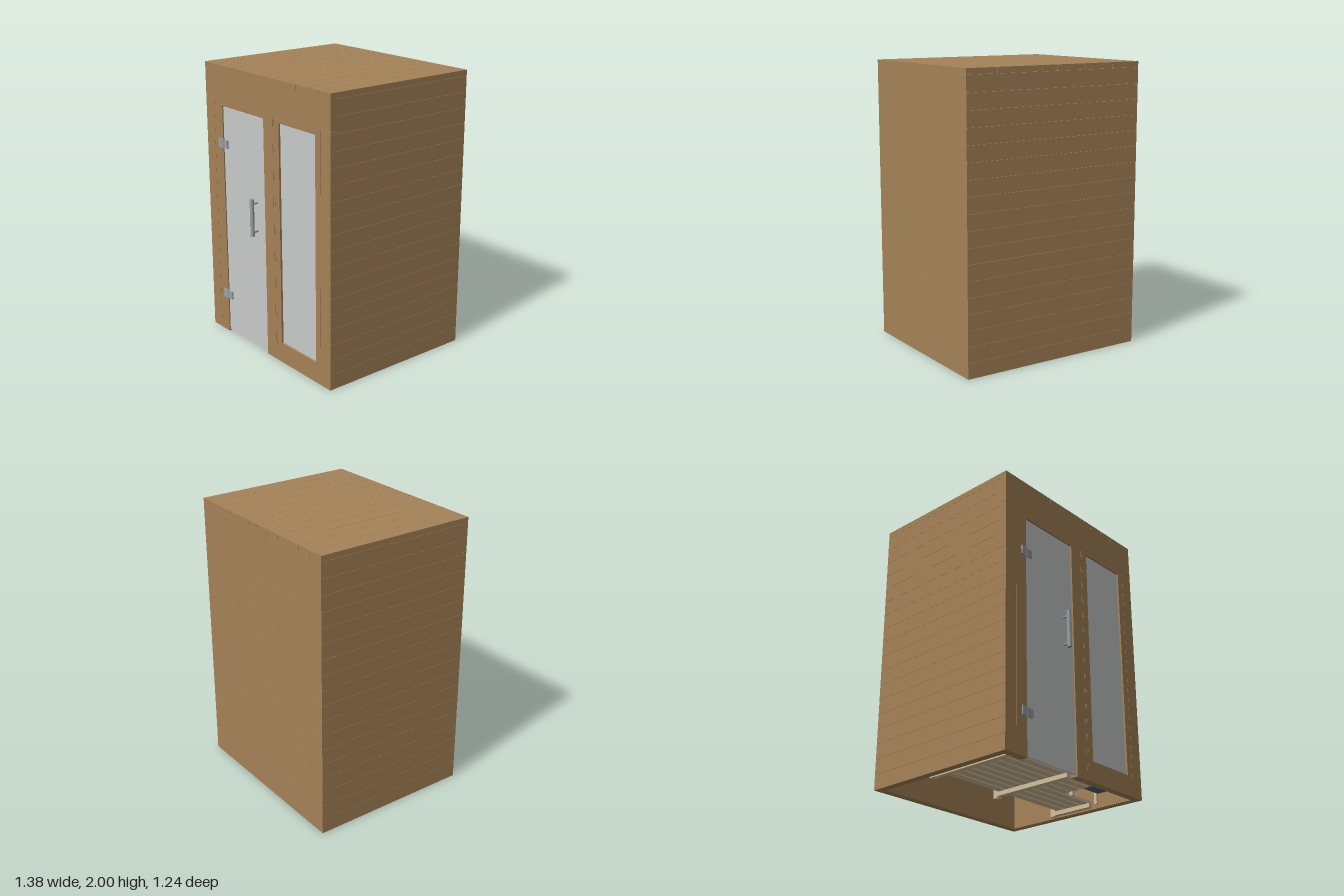
import * as THREE from 'three';

const mat = (name, color) => {
  const m = new THREE.MeshStandardMaterial({ color });
  m.name = name;
  return m;
};

export function createModel() {
  const wood = mat('cladding wood', 0xa58357);
  const pale = mat('pale bench wood', 0xd3c09c);
  const glass = mat('frosted glass', 0xc8caca);
  const steel = mat('brushed steel', 0x9aa0a5);
  const dark = mat('heater grey', 0x56636f);
  const copper = mat('bucket wood', 0xb8854c);

  const model = new THREE.Group();
  model.name = 'saunaCabin';
  const group = (name) => {
    const g = new THREE.Group();
    g.name = name;
    model.add(g);
    return g;
  };
  // Box given by its extents on each axis
  const box = (parent, name, m, x0, x1, y0, y1, z0, z1) => {
    const mesh = new THREE.Mesh(new THREE.BoxGeometry(x1 - x0, y1 - y0, z1 - z0), m);
    mesh.position.set((x0 + x1) / 2, (y0 + y1) / 2, (z0 + z1) / 2);
    mesh.name = name;
    parent.add(mesh);
    return mesh;
  };
  const cyl = (parent, name, m, rTop, rBottom, h, x, y, z, alongZ) => {
    const mesh = new THREE.Mesh(new THREE.CylinderGeometry(rTop, rBottom, h, 20), m);
    mesh.position.set(x, y, z);
    if (alongZ) mesh.rotation.x = Math.PI / 2;
    mesh.name = name;
    parent.add(mesh);
    return mesh;
  };

  const W = 0.69, BACK = -0.62, FRONT = 0.565, TOP = 1.96, T = 0.055, GAP = 0.0012;
  const PITCH = TOP / 18;

  // Horizontal planks stacked between two heights
  const planks = (parent, name, x0, x1, z0, z1, yMin, yMax) => {
    for (let i = 0; i < 18; i++) {
      const a = Math.max(i * PITCH, yMin), b = Math.min((i + 1) * PITCH, yMax);
      if (b - a > 0.004) box(parent, name, wood, x0, x1, a, b - GAP, z0, z1);
    }
  };

  // Side and back walls: planks over a thin lining
  const walls = group('walls');
  planks(walls, 'backPlank', -W, W, BACK, BACK + 0.04, 0, TOP);
  box(walls, 'backLining', wood, -W + T, W - T, 0.001, TOP, BACK + 0.04, BACK + T);
  for (const s of [-1, 1]) {
    const span = (a, b) => (s > 0 ? [a, b] : [-b, -a]);
    planks(walls, 'sidePlank', ...span(W - 0.04, W), BACK + 0.04, FRONT - 0.04, 0, TOP);
    box(walls, 'sideLining', wood, ...span(W - T, W - 0.04), 0.001, TOP, BACK + 0.04, FRONT - 0.04);
  }

  // Roof boards running front to back
  const roof = group('roof');
  const board = (2 * W) / 12;
  for (let i = 0; i < 12; i++) {
    const x = -W + i * board;
    box(roof, 'roofBoard', wood, x, x + board - (i < 11 ? GAP : 0), TOP, 2, BACK, FRONT);
  }
  box(roof, 'ceiling', wood, -W + T, W - T, TOP - 0.01, TOP, BACK + T, FRONT - T);

  // Front wall around the door and the window
  const front = group('frontWall');
  const zf = FRONT - T;
  planks(front, 'frontPlank', -W, -0.592, zf, FRONT, 0, 1.76);
  planks(front, 'frontPlank', 0.592, W, zf, FRONT, 0.1, 1.76);
  planks(front, 'frontPlank', 0.095, 0.11, zf, FRONT, 0.1, 1.76);
  box(front, 'header', wood, -W, W, 1.761, TOP, zf, FRONT);
  box(front, 'baseBoard', wood, 0.094, W, 0, 0.099, zf, FRONT);
  box(front, 'doorJamb', wood, -0.59, -0.492, 0, 1.76, zf, FRONT);
  box(front, 'centrePost', wood, -0.008, 0.093, 0, 1.76, zf, FRONT);
  box(front, 'doorLintel', wood, -0.491, -0.009, 1.715, 1.76, zf, FRONT);
  box(front, 'windowJamb', wood, 0.111, 0.16, 0.1, 1.76, zf, FRONT);
  box(front, 'windowJamb', wood, 0.54, 0.59, 0.1, 1.76, zf, FRONT);
  box(front, 'windowSill', wood, 0.16, 0.54, 0.1, 0.145, zf, FRONT);
  box(front, 'windowHead', wood, 0.16, 0.54, 1.715, 1.76, zf, FRONT);
  box(front, 'windowGlass', glass, 0.16, 0.54, 0.145, 1.715, 0.54, 0.551);

  // Glass door with hinges and a bar handle
  const door = group('door');
  box(door, 'doorGlass', glass, -0.49, -0.014, 0.012, 1.708, 0.545, 0.558);
  for (const y of [0.3, 1.447]) {
    box(door, 'hingeLeaf', steel, -0.54, -0.497, y - 0.032, y + 0.032, 0.56, 0.575);
    box(door, 'hingeLeaf', steel, -0.489, -0.437, y - 0.028, y + 0.028, 0.556, 0.57);
    cyl(door, 'hingePin', steel, 0.009, 0.009, 0.07, -0.494, y, 0.567);
  }
  cyl(door, 'handleBar', steel, 0.015, 0.015, 0.27, -0.105, 1.005, 0.605);
  for (const y of [0.9, 1.105]) cyl(door, 'handleStandoff', steel, 0.008, 0.008, 0.06, -0.105, y, 0.577, true);

  // Bench across the back with a hanging slatted skirt
  const bench = group('bench');
  for (let i = 0; i < 5; i++) {
    const z = -0.555 + i * 0.092;
    box(bench, 'seatSlat', pale, -0.63, 0.63, 0.43, 0.46, z, z + 0.078);
  }
  for (const x of [-0.6, 0, 0.6]) {
    box(bench, 'benchLeg', pale, x - 0.02, x + 0.02, 0, 0.4, -0.16, -0.12);
    box(bench, 'benchBearer', pale, x - 0.02, x + 0.02, 0.39, 0.43, -0.56, -0.12);
  }
  for (let i = 0; i < 18; i++) {
    const x = -0.62 + i * 0.07;
    box(bench, 'skirtSlat', pale, x, x + 0.054, 0.18, 0.43, -0.118, -0.1);
  }
  for (const y of [0.75, 0.9]) box(bench, 'backrestRail', pale, -0.6, 0.6, y, y + 0.08, -0.56, -0.53);

  // Slatted floor on three bearers, cut short beside the heater
  const floor = group('duckboard');
  for (let i = 0; i < 8; i++) {
    const z = -0.1 + i * 0.075;
    box(floor, 'floorSlat', pale, -0.62, z > 0.17 ? 0.3 : 0.62, 0.035, 0.055, z, z + 0.058);
  }
  for (const x of [-0.59, -0.02]) box(floor, 'floorBearer', pale, x - 0.018, x + 0.018, 0.005, 0.035, -0.12, 0.5);
  box(floor, 'floorBearer', pale, 0.58, 0.616, 0.005, 0.035, -0.12, 0.19);

  // Heater with a stone tray
  const heater = group('heater');
  box(heater, 'heaterBody', dark, 0.38, 0.62, 0.1, 0.6, 0.24, 0.48);
  for (let i = 0; i < 9; i++) {
    const stone = new THREE.Mesh(new THREE.IcosahedronGeometry(0.045, 0), dark);
    stone.position.set(0.43 + (i % 3) * 0.07, 0.61, 0.29 + Math.floor(i / 3) * 0.07);
    stone.rotation.set(i, i * 2, 0);
    stone.name = 'stone';
    heater.add(stone);
  }
  for (const x of [0.36, 0.63]) for (const z of [0.22, 0.49])
    box(heater, 'guardPost', pale, x - 0.012, x + 0.012, 0.03, 0.66, z - 0.012, z + 0.012);

  // Water bucket standing on the slatted floor
  const bucket = group('bucket');
  cyl(bucket, 'bucketBody', copper, 0.09, 0.075, 0.16, 0.28, 0.135, 0.0);
  const hoop = new THREE.Mesh(new THREE.TorusGeometry(0.085, 0.006, 8, 24), steel);
  hoop.rotation.x = Math.PI / 2;
  hoop.position.set(0.28, 0.16, 0);
  hoop.name = 'bucketHoop';
  bucket.add(hoop);

  return model;
}
